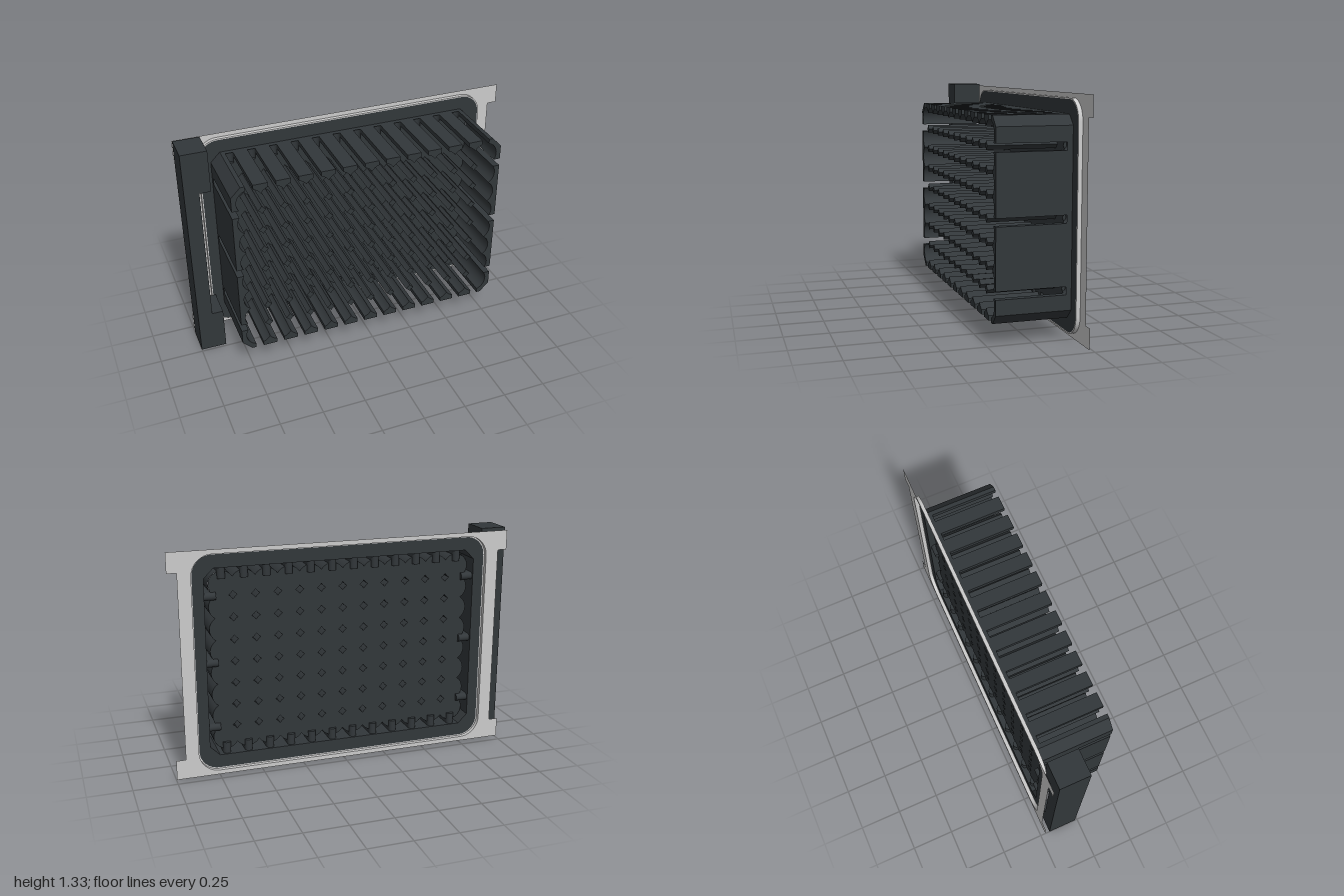
import * as THREE from 'three';
import { mergeGeometries, toCreasedNormals } from 'three/addons/utils/BufferGeometryUtils.js';

const PITCH = 0.127, R = 0.0748, SLOT = 0.022;      // well spacing, well radius, half slot width
const HX = 0.8, HY = 0.5425, CHAMFER = 0.055;        // wall block half sizes
const WX = 5.5 * PITCH, WY = 3.5 * PITCH;            // corner well centre
const FRONT = 0.22, FLOOR = -0.167, FLANGE = -0.197, BACK = -0.22;
const CUSP = Math.acos(PITCH / 2 / R);               // where neighbouring wells meet
const SIDE = Math.PI / 2 - CUSP;
const GAP = Math.asin(SLOT / R);                     // half angle of a slot
const CUT = Math.asin((PITCH / 2 - SLOT) / R);       // where a side slot meets a well
const Q = Math.PI / 2;

const dark = new THREE.MeshStandardMaterial({ color: 0x32373a, side: THREE.DoubleSide });
const grey = new THREE.MeshStandardMaterial({ color: 0xcccccc, side: THREE.DoubleSide });
const v = (x, y) => new THREE.Vector2(x, y);

function arc(cx, cy, a, b, n = 5) {
  return Array.from({ length: n + 1 }, (_, i) => {
    const t = a + (b - a) * i / n;
    return v(cx + R * Math.cos(t), cy + R * Math.sin(t));
  });
}

function roundedRect(hx, hy, r) {
  const pts = [];
  [[1, 1], [-1, 1], [-1, -1], [1, -1]].forEach(([sx, sy], k) => {
    for (let i = 0; i <= 10; i++) {
      const t = Q * (k + i / 10);
      pts.push(v(sx * (hx - r) + r * Math.cos(t), sy * (hy - r) + r * Math.sin(t)));
    }
  });
  return pts;
}

// Flat face at a given z, with optional holes
function sheet(pts, z, holes = []) {
  const s = new THREE.Shape(pts);
  s.holes = holes.map(h => new THREE.Path(h));
  return new THREE.ShapeGeometry(s).translate(0, 0, z).toNonIndexed();
}

// Open band of wall following a closed outline
function band(pts, z0, z1) {
  const pos = [], uv = [];
  pts.forEach((a, i) => {
    const b = pts[(i + 1) % pts.length];
    pos.push(a.x, a.y, z0, b.x, b.y, z0, b.x, b.y, z1, a.x, a.y, z0, b.x, b.y, z1, a.x, a.y, z1);
    uv.push(0, 0, 1, 0, 1, 1, 0, 0, 1, 1, 0, 1);
  });
  const g = new THREE.BufferGeometry();
  g.setAttribute('position', new THREE.Float32BufferAttribute(pos, 3));
  g.setAttribute('uv', new THREE.Float32BufferAttribute(uv, 2));
  g.computeVertexNormals();
  return toCreasedNormals(g, 0.5);
}

// Hollow column closed at the front and open at the back
const column = pts => [band(pts, FLOOR, FRONT), sheet(pts, FRONT)];
const mirror = (pts, sx, sy) => pts.map(p => v(p.x * sx, p.y * sy));

// Outline of the joined wells, stepping in at the slots of the long sides
function wellOutline() {
  const pts = [];
  const well = (x, y, phi, corner) => {
    const a = phi - SIDE, b = phi + SIDE + (corner ? Q : 0);
    const up = corner && Math.abs(Math.sin(phi)) < 0.5 ? phi + Q : phi;   // direction of the slot
    const s = Math.sin(up);
    if (Math.abs(s) < 0.5) { pts.push(...arc(x, y, a, b, 8)); return; }
    pts.push(...arc(x, y, a, up - GAP));
    pts.push(v(x + s * SLOT, y + s * 0.033), v(x - s * SLOT, y + s * 0.033));
    pts.push(...arc(x, y, up + GAP, b));
  };
  for (let j = 1; j < 8; j++) well(WX, -WY + j * PITCH, 0, j === 7);
  for (let i = 1; i < 12; i++) well(WX - i * PITCH, WY, Q, i === 11);
  for (let j = 1; j < 8; j++) well(-WX, WY - j * PITCH, 2 * Q, j === 7);
  for (let i = 1; i < 12; i++) well(-WX + i * PITCH, -WY, 3 * Q, i === 11);
  return pts.filter((p, i) => p.distanceTo(pts[(i + 1) % pts.length]) > 1e-5);
}

export function createModel() {
  const group = new THREE.Group();
  const body = new THREE.Group();
  body.position.y = 0.6625;
  group.add(body);
  const add = (name, geos, mat) => {
    const mesh = new THREE.Mesh(mergeGeometries(geos), mat);
    mesh.name = name;
    body.add(mesh);
  };

  // Fins along the long sides
  const fins = [];
  const e = PITCH / 2 - SLOT;
  for (let i = -5; i <= 5; i++) {
    const c = i * PITCH;
    const pts = [
      ...arc(c + PITCH / 2, WY, Q + GAP, Math.PI - CUSP),
      ...arc(c - PITCH / 2, WY, CUSP, Q - GAP).slice(1),
      v(c - e, HY), v(c + e, HY)];
    for (const sy of [1, -1]) fins.push(...column(mirror(pts, 1, sy)));
  }
  add('longSideFins', fins, dark);

  // Corner columns and scalloped end walls
  const corner = [
    ...arc(WX, WY, Q - GAP, -CUT, 8),
    v(HX, WY - e), v(HX, HY - CHAMFER), v(HX - CHAMFER, HY), v(WX + SLOT, HY)];
  const end = [
    ...arc(WX, PITCH * 0.5, -CUT, SIDE),
    ...arc(WX, PITCH * 1.5, -SIDE, SIDE).slice(1),
    ...arc(WX, PITCH * 2.5, -SIDE, CUT).slice(1),
    v(HX, 3 * PITCH - SLOT), v(HX, SLOT)];
  const corners = [], ends = [];
  for (const sx of [1, -1]) for (const sy of [1, -1]) {
    corners.push(...column(mirror(corner, sx, sy)));
    ends.push(...column(mirror(end, sx, sy)));
  }
  add('cornerColumns', corners, dark);
  add('endWalls', ends, dark);

  // Hollow diamond pins between the wells, and the floor they rise from
  const pins = [], pinHoles = [];
  for (let i = -5; i <= 5; i++) for (let j = -3; j <= 3; j++) {
    const pts = Array.from({ length: 8 }, (_, k) => {
      const r = k % 2 ? 0.015 : 0.024, t = k * Math.PI / 4;
      return v(i * PITCH + r * Math.cos(t), j * PITCH + r * Math.sin(t));
    });
    pinHoles.push(pts);
    pins.push(...column(pts));
  }
  add('pins', pins, dark);
  add('wellFloor', [sheet(wellOutline(), FLOOR, pinHoles)], dark);

  // Rounded grooves closing the slots at the back
  const grooves = [];
  const groove = (len, x, y, turn) => {
    const g = new THREE.CylinderGeometry(SLOT, SLOT, len, 10, 1, false, Q, Math.PI);
    grooves.push(g.rotateZ(turn).translate(x, y, FLOOR));
  };
  for (const s of [1, -1]) {
    for (let i = 0; i < 12; i++) groove(0.065, -WX + i * PITCH, s * (HY - 0.0325), 0);
    for (const j of [-3, 0, 3]) groove(0.068, s * (HX - 0.034), j * PITCH, Q);
  }
  add('slotGrooves', grooves, dark);

  // Skirt below the walls and the flange around it
  const c = CHAMFER;
  const outline = [
    v(HX, HY - c), v(HX - c, HY), v(c - HX, HY), v(-HX, HY - c),
    v(-HX, c - HY), v(c - HX, -HY), v(HX - c, -HY), v(HX, c - HY)];
  add('skirt', [band(outline, FLANGE, FLOOR)], dark);
  const inner = roundedRect(0.863, 0.618, 0.11), rim = roundedRect(0.87, 0.625, 0.117);
  add('flange', [sheet(inner, FLANGE, [outline])], dark);

  // Mounting plate with notched ends, and its raised rim
  add('rim', [band(rim, BACK, FLANGE), sheet(rim, FLANGE, [inner])], grey);
  const tab = [v(1, -0.65), v(1, -0.535), v(0.945, -0.535), v(0.945, 0.535), v(1, 0.535), v(1, 0.65)];
  const plate = [...tab, ...mirror(tab, -1, 1).reverse()];
  add('mountingPlate', [sheet(plate, BACK, [rim])], grey);

  // Upright end block with a long notch
  const block = new THREE.Shape([
    v(-1, -0.6625), v(-0.85, -0.6625), v(-0.85, -0.4125), v(-0.915, -0.4125),
    v(-0.915, 0.4125), v(-0.85, 0.4125), v(-0.85, 0.6625), v(-1, 0.6625)]);
  add('endBlock', [new THREE.ExtrudeGeometry(block, { depth: 0.175, bevelEnabled: false })
    .translate(0, 0, -0.19)], dark);

  return group;
}
